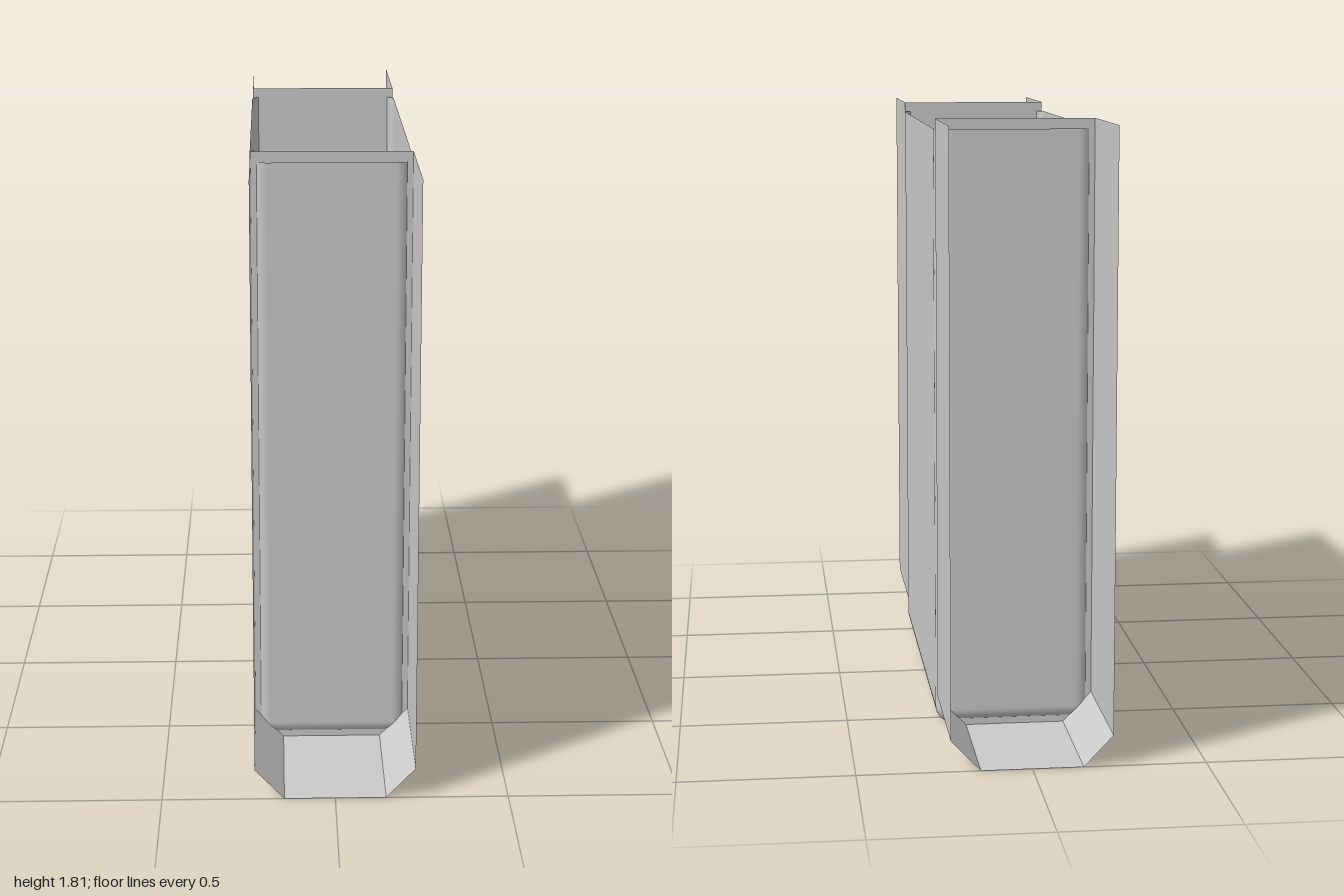
import * as THREE from 'three';

const HALF_W = 0.235, HALF_D = 0.59, RADIUS = 0.05, BIN_TOP = 1.78;
const FLANGE_TOP = 1.81, FLANGE_START = 0.58, FLANGE_END = 1;

const material = (flatShading) =>
  new THREE.MeshStandardMaterial({ color: 0xcccccc, side: THREE.DoubleSide, flatShading });

// Open-topped thin shell with rounded upright corners and rounded bottom edges
function binGeometry() {
  const steps = 8, perCorner = steps + 1, count = perCorner * 4;
  const positions = [], normals = [], index = [];
  const corners = [[1, 1], [-1, 1], [-1, -1], [1, -1]];

  const addRing = (y, pitch) => {
    const r = RADIUS * Math.cos(pitch);
    corners.forEach(([sx, sz], c) => {
      for (let k = 0; k <= steps; k++) {
        const a = (c + k / steps) * Math.PI / 2;
        positions.push(sx * (HALF_W - RADIUS) + r * Math.cos(a), y,
          sz * (HALF_D - RADIUS) + r * Math.sin(a));
        normals.push(Math.cos(a) * Math.cos(pitch), -Math.sin(pitch), Math.sin(a) * Math.cos(pitch));
      }
    });
  };

  // Bottom rounding from the floor upwards, then the straight walls
  for (let i = 0; i <= steps; i++) {
    const pitch = (1 - i / steps) * Math.PI / 2;
    addRing(RADIUS * (1 - Math.sin(pitch)), pitch);
  }
  addRing(BIN_TOP, 0);

  for (let i = 0; i <= steps; i++) {
    for (let j = 0; j < count; j++) {
      const a = i * count + j, b = i * count + (j + 1) % count;
      index.push(a, a + count, b, b, a + count, b + count);
    }
  }
  // Flat floor between the four bottom corners
  index.push(0, perCorner, 2 * perCorner, 0, 2 * perCorner, 3 * perCorner);

  const geometry = new THREE.BufferGeometry();
  geometry.setAttribute('position', new THREE.Float32BufferAttribute(positions, 3));
  geometry.setAttribute('normal', new THREE.Float32BufferAttribute(normals, 3));
  geometry.setIndex(index);
  return geometry;
}

// Folded channel outline: wall, chamfer, floor, chamfer, wall
const channelProfile = [
  [-0.232, FLANGE_TOP], [-0.232, 0.09], [-0.147, 0],
  [0.147, 0], [0.232, 0.09], [0.232, FLANGE_TOP],
];

function channelGeometry() {
  const positions = [];
  for (let i = 0; i < channelProfile.length - 1; i++) {
    const [x0, y0] = channelProfile[i], [x1, y1] = channelProfile[i + 1];
    const a = [x0, y0, FLANGE_START], b = [x1, y1, FLANGE_START];
    const c = [x1, y1, FLANGE_END], d = [x0, y0, FLANGE_END];
    positions.push(...a, ...b, ...c, ...a, ...c, ...d);
  }
  const geometry = new THREE.BufferGeometry();
  geometry.setAttribute('position', new THREE.Float32BufferAttribute(positions, 3));
  geometry.computeVertexNormals();
  return geometry;
}

function createFlange(name) {
  const flange = new THREE.Group();
  flange.name = name;

  const channel = new THREE.Mesh(channelGeometry(), material(true));
  channel.name = 'channel';

  // Cross panel where the channel meets the bin
  const outline = new THREE.Shape(channelProfile.map(([x, y]) => new THREE.Vector2(x, y)));
  const panel = new THREE.Mesh(new THREE.ShapeGeometry(outline), material(true));
  panel.name = 'endPanel';
  panel.position.z = FLANGE_START;

  flange.add(channel, panel);
  return flange;
}

export function createModel() {
  const model = new THREE.Group();
  model.name = 'flangedBin';

  const bin = new THREE.Mesh(binGeometry(), material(false));
  bin.name = 'bin';

  const front = createFlange('frontFlange');
  const back = createFlange('backFlange');
  back.rotation.y = Math.PI;

  model.add(bin, front, back);
  return model;
}
